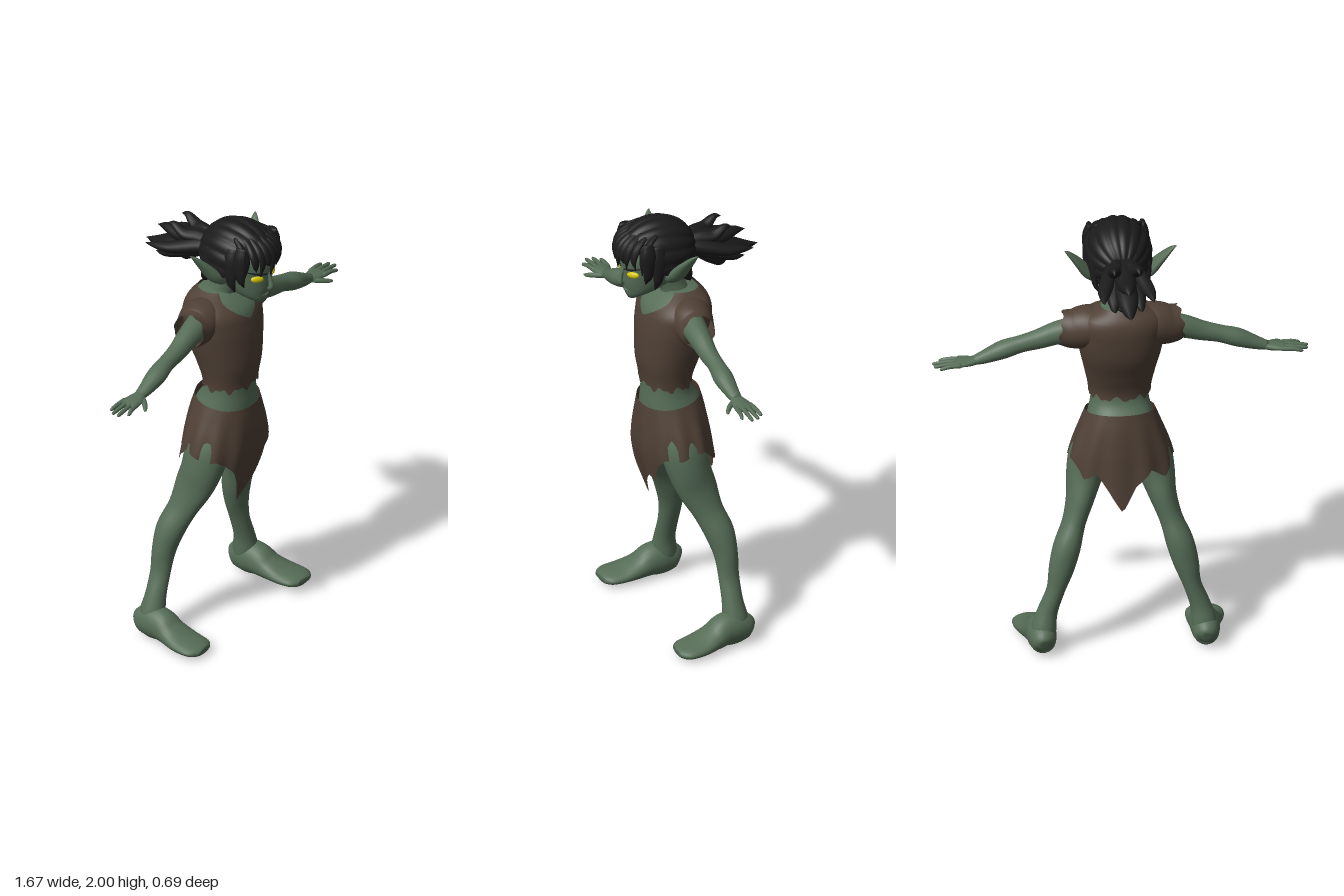
import * as THREE from 'three';

const mat = (name, color, side = THREE.FrontSide) => {
  const m = new THREE.MeshStandardMaterial({ color, side });
  m.name = name;
  return m;
};
const V = (x, y, z) => new THREE.Vector3(x, y, z);
const TAU = Math.PI * 2;

// Surface of rings: point(u, v) with u running round the ring and v along it
function rings(n, m, point, caps = true) {
  const pos = [], idx = [];
  for (let i = 0; i <= m; i++)
    for (let j = 0; j < n; j++) pos.push(...point(j / n, i / m).toArray());
  for (let i = 0; i < m; i++)
    for (let j = 0; j < n; j++) {
      const k = (j + 1) % n, a = i * n + j, b = i * n + k;
      idx.push(a, b, b + n, a, b + n, a + n);
    }
  if (caps) for (const row of [0, m]) {
    const c = V(0, 0, 0), centre = pos.length / 3;
    for (let j = 0; j < n; j++) c.add(V().fromArray(pos, (row * n + j) * 3));
    pos.push(...c.divideScalar(n).toArray());
    for (let j = 0; j < n; j++) {
      const a = row * n + j, b = row * n + (j + 1) % n;
      idx.push(...(row ? [a, b, centre] : [b, a, centre]));
    }
  }
  const g = new THREE.BufferGeometry();
  g.setAttribute('position', new THREE.Float32BufferAttribute(pos, 3));
  g.setIndex(idx);
  g.computeVertexNormals();
  return g;
}

// Tapered limb through stations [x, y, z, radius across, radius toward ref]; s mirrors x
function limb(stations, { s = 1, ref = V(0, 0, 1), n = 16, steps = 5, caps = true, rag = 0 } = {}) {
  const path = new THREE.CatmullRomCurve3(stations.map(p => V(p[0] * s, p[1], p[2])), false, 'catmullrom');
  const size = new THREE.CatmullRomCurve3(stations.map(p => V(p[3], p[4], 0)), false, 'catmullrom');
  return rings(n, steps * (stations.length - 1), (u, v) => {
    const t = path.getTangent(v), r = size.getPoint(v);
    const c = ref.clone().addScaledVector(t, -ref.dot(t)).normalize();
    const across = V().crossVectors(t, c), a = u * TAU;
    return path.getPoint(v)
      .addScaledVector(across, Math.max(r.x, 0.001) * Math.sin(a))
      .addScaledVector(c, Math.max(r.y, 0.001) * Math.cos(a))
      .addScaledVector(t, v === 1 ? rag * Math.sin(a * 7) : 0);
  }, caps);
}

// Upright form from rows [y, half width, front z, back z]; low and high give its edges by angle
function upright(rows, low, high, { grow = 0, n = 48, m = 32, power = 1, pleat = 0, caps = true } = {}) {
  const f = new THREE.CubicInterpolant(rows.map(r => r[0]), rows.flatMap(r => r.slice(1)), 3);
  const bend = k => Math.sign(k) * Math.abs(k) ** power;
  return rings(n, m, (u, v) => {
    const a = u * TAU, y = THREE.MathUtils.lerp(low(a), high(a), v);
    const [w, zf, zb] = f.evaluate(y);
    const g = grow + pleat * (1 - v) * Math.sin(a * 11);
    return V((w + g) * bend(Math.sin(a)), y, (zf + zb) / 2 + ((zf - zb) / 2 + g) * bend(Math.cos(a)));
  }, caps);
}

// Broken line through [angle in degrees, value], closed over a full turn
function byAngle(table) {
  return a => {
    const d = ((a * 360 / TAU) + 360) % 360;
    let i = 0;
    while (i < table.length - 2 && table[i + 1][0] < d) i++;
    const [d0, y0] = table[i], [d1, y1] = table[i + 1];
    return y0 + (y1 - y0) * (d - d0) / (d1 - d0);
  };
}

export function createModel() {
  const skin = mat('green skin', 0x566d57);
  const cloth = mat('brown cloth', 0x4f4035, THREE.DoubleSide);
  const hair = mat('black hair', 0x1b1b1c, THREE.DoubleSide);
  const yellow = mat('yellow eyes', 0xd9c60c);
  const model = new THREE.Group();
  model.name = 'figure';
  const add = (name, geometry, material) => {
    const mesh = new THREE.Mesh(geometry, material);
    mesh.name = name;
    model.add(mesh);
    return mesh;
  };

  // Torso and neck
  const body = [[0.85, 0.05, 0.13, 0], [0.9, 0.14, 0.185, -0.04], [1, 0.165, 0.21, -0.06],
    [1.1, 0.143, 0.212, -0.035], [1.15, 0.13, 0.208, 0], [1.2, 0.127, 0.207, 0.012],
    [1.3, 0.145, 0.222, -0.018], [1.4, 0.168, 0.222, -0.058], [1.5, 0.185, 0.212, -0.073],
    [1.57, 0.185, 0.19, -0.073], [1.61, 0.15, 0.15, -0.058], [1.64, 0.08, 0.11, -0.03]];
  add('torso', upright(body, () => 0.85, () => 1.64, { power: 0.9, m: 48 }), skin);
  add('neck', limb([[0, 1.57, 0.05, 0.08, 0.075], [0, 1.64, 0.07, 0.055, 0.06],
    [0, 1.72, 0.1, 0.05, 0.055], [0, 1.79, 0.13, 0.05, 0.05]]), skin);

  // Shirt with a notched neck and a ragged hem
  add('shirt', upright(body,
    a => 1.19 + 0.01 * Math.sin(a * 9) + 0.007 * Math.sin(a * 17 + 1),
    a => 1.643 - 0.115 * Math.max(0, 1 - Math.abs(Math.atan2(Math.sin(a), Math.cos(a))) / 0.85),
    { grow: 0.011, power: 0.9, n: 96, caps: false }), cloth);

  // Skirt with long points at front and back
  const skirtRows = [[0.6, 0.24, 0.175, -0.13], [0.75, 0.24, 0.212, -0.1], [0.87, 0.234, 0.235, -0.085],
    [0.95, 0.215, 0.236, -0.077], [1.05, 0.178, 0.23, -0.062], [1.13, 0.146, 0.222, -0.042]];
  const hem = byAngle([[0, 0.675], [4, 0.71], [13, 0.76], [18, 0.73], [25, 0.79], [33, 0.83], [45, 0.87],
    [70, 0.875], [90, 0.9], [110, 0.9], [135, 0.83], [150, 0.86], [165, 0.78], [178, 0.69], [192, 0.8],
    [210, 0.87], [230, 0.82], [250, 0.9], [270, 0.885], [290, 0.86], [305, 0.87], [322, 0.83],
    [332, 0.8], [340, 0.735], [351, 0.61], [360, 0.675]]);
  add('skirt', upright(skirtRows, hem, a => 1.11 - 0.02 * Math.cos(a),
    { n: 120, m: 20, pleat: 0.006, power: 0.95, caps: false }), cloth);

  // Head, tapering to a chin set well forward
  const head = [[1.635, 0.022, 0.29, 0.245], [1.655, 0.05, 0.3, 0.2], [1.68, 0.075, 0.305, 0.13],
    [1.72, 0.096, 0.313, 0.06], [1.78, 0.115, 0.318, 0], [1.85, 0.125, 0.32, -0.01],
    [1.92, 0.11, 0.27, 0.01], [1.97, 0.05, 0.18, 0.07]];
  add('head', upright(head, () => 1.635, () => 1.97), skin);
  add('nose', limb([[0, 1.795, 0.312, 0.008, 0.006], [0, 1.75, 0.325, 0.01, 0.01],
    [0, 1.72, 0.33, 0.016, 0.011], [0, 1.708, 0.315, 0.01, 0.008]], { n: 10 }), skin);
  add('lips', limb([[-0.03, 1.677, 0.294, 0.002, 0.003], [0, 1.678, 0.305, 0.007, 0.006],
    [0.03, 1.677, 0.294, 0.002, 0.003]], { n: 8 }), skin);

  for (const s of [1, -1]) {
    const side = s > 0 ? 'left' : 'right';
    // Eyes, brows and pointed ears
    const eye = add(side + 'Eye', new THREE.SphereGeometry(1, 20, 12), yellow);
    eye.scale.set(0.031, 0.016, 0.012);
    eye.position.set(0.058 * s, 1.772, 0.294);
    eye.rotation.set(0, 0.55 * s, 0.15 * s);
    add(side + 'Brow', limb([[0.018, 1.789, 0.318, 0.003, 0.004], [0.055, 1.798, 0.302, 0.006, 0.006],
      [0.095, 1.812, 0.262, 0.002, 0.003]], { s, n: 8 }), hair);
    add(side + 'Ear', limb([[0.1, 1.735, 0.13, 0.02, 0.03], [0.14, 1.77, 0.122, 0.026, 0.045],
      [0.185, 1.83, 0.1, 0.019, 0.036], [0.225, 1.88, 0.08, 0.01, 0.018],
      [0.247, 1.902, 0.068, 0.002, 0.003]], { s }), skin);

    // Sleeve and arm
    add(side + 'Sleeve', limb([[0.09, 1.545, 0.05, 0.085, 0.1], [0.15, 1.535, 0.055, 0.096, 0.098],
      [0.21, 1.525, 0.062, 0.09, 0.085], [0.262, 1.53, 0.07, 0.079, 0.072]],
      { s, n: 48, caps: false, rag: 0.007 }), cloth);
    add(side + 'Arm', limb([[0.15, 1.53, 0.06, 0.06, 0.06], [0.27, 1.505, 0.07, 0.053, 0.05],
      [0.36, 1.475, 0.075, 0.045, 0.041], [0.44, 1.455, 0.075, 0.039, 0.037],
      [0.52, 1.43, 0.078, 0.041, 0.044], [0.6, 1.4, 0.077, 0.03, 0.033],
      [0.65, 1.385, 0.075, 0.02, 0.025]], { s }), skin);

    // Hand with four fingers and a thumb
    add(side + 'Palm', limb([[0.63, 1.388, 0.075, 0.018, 0.023], [0.67, 1.382, 0.076, 0.018, 0.037],
      [0.715, 1.38, 0.075, 0.014, 0.045], [0.74, 1.378, 0.075, 0.008, 0.04]], { s }), skin);
    [[0.04, 0.805, 0.032], [0.063, 0.828, 0.058], [0.086, 0.832, 0.088], [0.107, 0.8, 0.12]].forEach(([z, tx, tz], i) =>
      add(side + 'Finger' + (i + 1), limb([[0.71, 1.38, z, 0.011, 0.012], [0.76, 1.379, (z + tz) / 2, 0.01, 0.01],
        [tx - 0.01, 1.372, tz, 0.008, 0.008], [tx, 1.37, tz, 0.003, 0.003]], { s, n: 8 }), skin));
    add(side + 'Thumb', limb([[0.645, 1.38, 0.088, 0.012, 0.013], [0.675, 1.374, 0.122, 0.012, 0.012],
      [0.705, 1.367, 0.147, 0.009, 0.009], [0.718, 1.365, 0.154, 0.003, 0.003]], { s, n: 8 }), skin);

    // Leg and bare foot
    add(side + 'Leg', limb([[0.1, 1, 0.08, 0.075, 0.115], [0.137, 0.9, 0.085, 0.088, 0.108],
      [0.16, 0.8, 0.07, 0.081, 0.098], [0.183, 0.7, 0.037, 0.062, 0.09], [0.215, 0.6, 0.002, 0.052, 0.07],
      [0.25, 0.5, -0.036, 0.061, 0.066], [0.277, 0.4, -0.053, 0.056, 0.053], [0.302, 0.3, -0.055, 0.041, 0.047],
      [0.337, 0.2, -0.055, 0.045, 0.048], [0.355, 0.12, -0.06, 0.056, 0.058],
      [0.36, 0.06, -0.065, 0.055, 0.055]], { s, n: 24 }), skin);
    add(side + 'Foot', limb([[0.358, 0.062, -0.135, 0.02, 0.025], [0.36, 0.07, -0.115, 0.05, 0.056],
      [0.362, 0.078, -0.06, 0.064, 0.076], [0.364, 0.077, 0, 0.068, 0.075], [0.37, 0.056, 0.06, 0.075, 0.053],
      [0.379, 0.04, 0.13, 0.085, 0.037], [0.386, 0.033, 0.2, 0.081, 0.028],
      [0.388, 0.031, 0.232, 0.055, 0.02], [0.388, 0.03, 0.24, 0.025, 0.01]],
      { s, ref: V(0, 1, 0), n: 24 }), skin);

    // Locks in front of and behind each ear
    [[0.13, 1.9, 0.25, 0.105, 1.74, 0.255], [0.132, 1.88, 0.2, 0.118, 1.71, 0.215],
      [0.12, 1.85, 0.08, 0.09, 1.7, 0.03]].forEach(([x, y, z, tx, ty, tz], i) =>
      add(side + 'SideLock' + (i + 1), limb([[x * 0.9, y + 0.04, z, 0.012, 0.025], [x, y - 0.02, z, 0.018, 0.034],
        [(x + tx) / 2 + 0.01, (y + ty) / 2 - 0.03, (z + tz) / 2, 0.013, 0.024],
        [tx, ty, tz, 0.002, 0.003]], { s, n: 10 }), hair));
  }

  // Hair swept from the forehead back to the knot, ridged into locks
  const reach = byAngle([[0, 152], [40, 146], [75, 126], [95, 112], [115, 85], [140, 66], [180, 58],
    [220, 66], [245, 85], [265, 112], [285, 126], [320, 146], [360, 152]]);
  add('hairCap', rings(144, 28, (u, v) => {
    const a = u * TAU, p = v * reach(a) * TAU / 360;
    const r = 0.97 + 0.045 * Math.sin(p) * Math.abs(Math.sin(a * 8 + 0.5 * Math.sin(p * 2)));
    return V(-0.15 * r * Math.sin(p) * Math.sin(a), 1.83 + 0.169 * r * Math.sin(p) * Math.cos(a),
      0.155 - 0.19 * r * Math.cos(p));
  }, false), hair);

  // Fringe locks hanging over the forehead
  const tips = [1.79, 1.82, 1.8, 1.835, 1.79, 1.83, 1.805, 1.82, 1.785];
  tips.forEach((y, i) => {
    const x = (i - 4) * 0.029, lean = (i % 2 ? 0.012 : -0.012);
    const z = k => 0.155 + 0.185 * Math.sqrt(1 - (k / 0.155) ** 2);
    add('fringeLock' + (i + 1), limb([[x * 0.7, 1.955, z(x) - 0.085, 0.014, 0.012],
      [x * 0.92, 1.915, z(x) - 0.025, 0.023, 0.016], [x, 1.865, z(x) - 0.002, 0.021, 0.013],
      [x + lean, y, z(x) - 0.006, 0.002, 0.002]], { n: 10 }), hair);
  });

  // Ponytail of pointed strands blown backward
  [[0, 1.755, -0.343, 0.05], [0.11, 1.8, -0.27, 0.032], [-0.11, 1.8, -0.27, 0.032], [0.055, 1.9, -0.19, 0.032],
    [-0.055, 1.9, -0.19, 0.032], [0, 1.84, -0.28, 0.045], [0.06, 1.745, -0.25, 0.036],
    [-0.06, 1.745, -0.25, 0.036], [0.02, 1.715, -0.18, 0.04]].forEach(([x, y, z, r], i) =>
    add('ponytailStrand' + (i + 1), limb([[x * 0.3, 1.85, 0.04, r * 0.8, r * 0.8],
      [x * 0.55, 1.835 + (y - 1.8) * 0.3, -0.04, r, r], [x * 0.85, 1.81 + (y - 1.8) * 0.6, z * 0.55, r, r * 0.8],
      [x * 0.97, y + 0.004, z * 0.82, r * 0.55, r * 0.45], [x, y, z, 0.001, 0.001]],
      { ref: V(0, 1, 0), n: 12 }), hair));

  return model;
}
